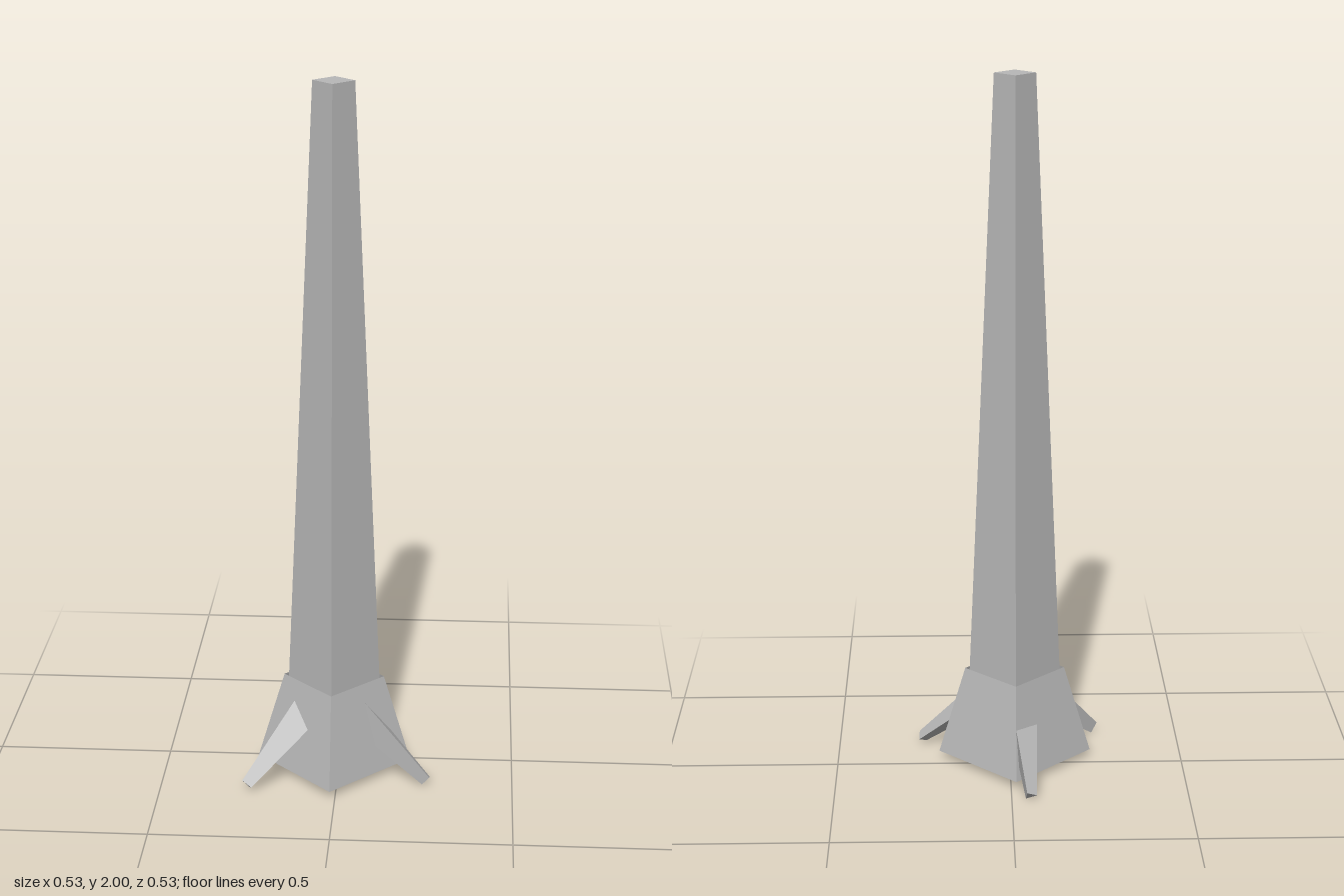
import * as THREE from 'three';

export function createModel() {
  const grey = new THREE.MeshStandardMaterial({ color: 0xb8b8b8, flatShading: true, side: THREE.DoubleSide });
  const model = new THREE.Group();
  model.name = 'trunk with roots';
  const cx = -0.015, cz = 0.044;

  // Four-sided tapered section with its corners on the x and z axes
  function taper(name, rTop, rBottom, yBottom, yTop, open) {
    const geo = new THREE.CylinderGeometry(rTop, rBottom, yTop - yBottom, 4, 1, open);
    const mesh = new THREE.Mesh(geo, grey);
    mesh.name = name;
    mesh.position.set(cx, (yBottom + yTop) / 2, cz);
    model.add(mesh);
  }
  taper('trunk', 0.057, 0.141, 0.02, 2, false);
  taper('flaredBase', 0.143, 0.22, 0.02, 0.28, true);

  // Three-sided roots, rolled a little about their own axis
  const roll = Math.PI / 6;
  for (let i = 0; i < 3; i++) {
    const a = THREE.MathUtils.degToRad(22 + i * 120);
    const out = new THREE.Vector3(Math.cos(a), 0, Math.sin(a));
    const side = new THREE.Vector3(-Math.sin(a), 0, Math.cos(a));
    const at = (r, y, t) => new THREE.Vector3(cx, y, cz).addScaledVector(out, r).addScaledVector(side, t);
    const inner = at(0.074, 0.197, 0.002), tip = at(0.296, 0.013, 0.005);

    const axis = inner.clone().sub(tip);
    const length = axis.length();
    axis.normalize();
    const up = out.clone().multiplyScalar(0.675).add(new THREE.Vector3(0, 0.74, 0));
    const back = up.multiplyScalar(-Math.cos(roll)).addScaledVector(side, Math.sin(roll));
    back.addScaledVector(axis, -back.dot(axis)).normalize();
    const across = new THREE.Vector3().crossVectors(axis, back);

    const root = new THREE.Mesh(new THREE.CylinderGeometry(0.055, 0.02, length, 3), grey);
    root.name = 'root' + (i + 1);
    root.quaternion.setFromRotationMatrix(new THREE.Matrix4().makeBasis(across, axis, back));
    root.position.copy(inner).add(tip).multiplyScalar(0.5);
    model.add(root);
  }
  return model;
}
